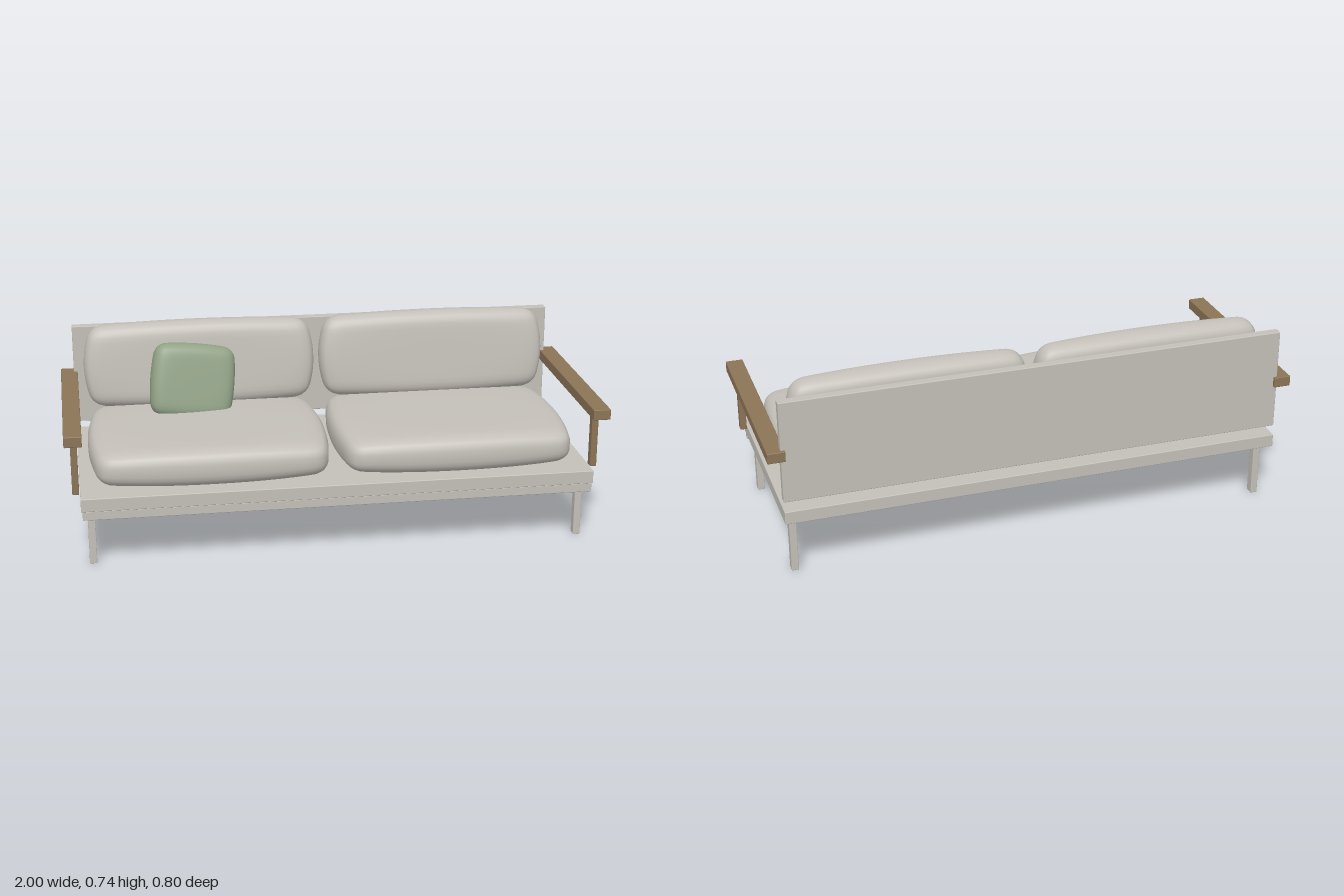
import * as THREE from 'three';
import { RoundedBoxGeometry } from 'three/addons/geometries/RoundedBoxGeometry.js';
import { mergeVertices } from 'three/addons/utils/BufferGeometryUtils.js';

// Stuffed cushion: rounded box, thin along z, with bulging sides and pinched corners
function cushionGeometry(w, h, d, r) {
  const geo = new THREE.BoxGeometry(2, 2, 2, 20, 20, 10);
  geo.deleteAttribute('uv');
  geo.deleteAttribute('normal');
  const half = new THREE.Vector3(w / 2, h / 2, d / 2);
  const inner = half.clone().subScalar(r);
  const outer = inner.clone().negate();
  const pos = geo.attributes.position;
  const p = new THREE.Vector3(), core = new THREE.Vector3();
  const ease = (t) => Math.sin(t * Math.PI / 2); // more rows near the edges
  for (let i = 0; i < pos.count; i++) {
    p.fromBufferAttribute(pos, i);
    p.set(ease(p.x), ease(p.y), ease(p.z)).multiply(half);
    core.copy(p).clamp(outer, inner);
    p.sub(core).setLength(r).add(core);
    const u = (p.x / half.x) ** 2, v = (p.y / half.y) ** 2;
    pos.setXYZ(i, p.x * (1 - 0.07 * v), p.y * (1 - 0.07 * u), p.z * (1 - 0.08 * (u * u + v * v) - 0.15 * u * v));
  }
  const merged = mergeVertices(geo);
  merged.computeVertexNormals();
  return merged;
}

export function createModel() {
  const group = new THREE.Group();
  const lightGrey = new THREE.MeshStandardMaterial({ name: 'lightGrey', color: 0xc3bfb8 });
  const wood = new THREE.MeshStandardMaterial({ name: 'wood', color: 0x8c7457 });
  const sage = new THREE.MeshStandardMaterial({ name: 'sageGreen', color: 0x92a387 });

  const add = (name, geo, mat, x, y, z) => {
    const mesh = new THREE.Mesh(geo, mat);
    mesh.name = name;
    mesh.position.set(x, y, z);
    group.add(mesh);
    return mesh;
  };
  // Slightly eased box given by its minimum and maximum corners
  const bar = (name, mat, [x0, y0, z0], [x1, y1, z1]) =>
    add(name, new RoundedBoxGeometry(x1 - x0, y1 - y0, z1 - z0, 2, 0.003), mat,
      (x0 + x1) / 2, (y0 + y1) / 2, (z0 + z1) / 2);

  // Frame
  bar('platform', lightGrey, [-0.95, 0.228, -0.393], [0.95, 0.278, 0.387]);
  bar('frontRail', lightGrey, [-0.945, 0.195, 0.361], [0.945, 0.23, 0.386]);
  bar('backPanel', lightGrey, [-0.95, 0.315, -0.388], [0.95, 0.705, -0.354]);

  for (const s of [-1, 1]) {
    const side = s > 0 ? 'left' : 'right';
    const mirrored = (name, mat, x0, x1, y0, y1, z0, z1) =>
      bar(side + name, mat, [s > 0 ? x0 : -x1, y0, z0], [s > 0 ? x1 : -x0, y1, z1]);

    // Legs and armrests
    mirrored('FrontLeg', lightGrey, 0.9, 0.927, 0, 0.232, 0.295, 0.328);
    mirrored('BackLeg', lightGrey, 0.9, 0.927, 0, 0.232, -0.336, -0.302);
    mirrored('Armrest', wood, 0.935, 1, 0.482, 0.522, -0.4, 0.4);
    mirrored('ArmPost', wood, 0.953, 0.978, 0.273, 0.486, 0.296, 0.328);

    // Seat and back cushions
    const x = s > 0 ? 0.456 : -0.463;
    const seat = add(side + 'SeatCushion', cushionGeometry(0.896, 0.658, 0.148, 0.058), lightGrey, x, 0.354, 0.038);
    seat.rotation.x = -Math.PI / 2;
    const back = add(side + 'BackCushion', cushionGeometry(0.896, 0.335, 0.122, 0.05), lightGrey, x, 0.572, -0.259);
    back.rotation.x = -0.12;
  }

  // Loose throw pillow leaning on the right back cushion
  const pillow = add('throwPillow', cushionGeometry(0.325, 0.29, 0.105, 0.042), sage, -0.5, 0.53, -0.145);
  pillow.rotation.set(-0.24, 0.12, -0.11);

  return group;
}
